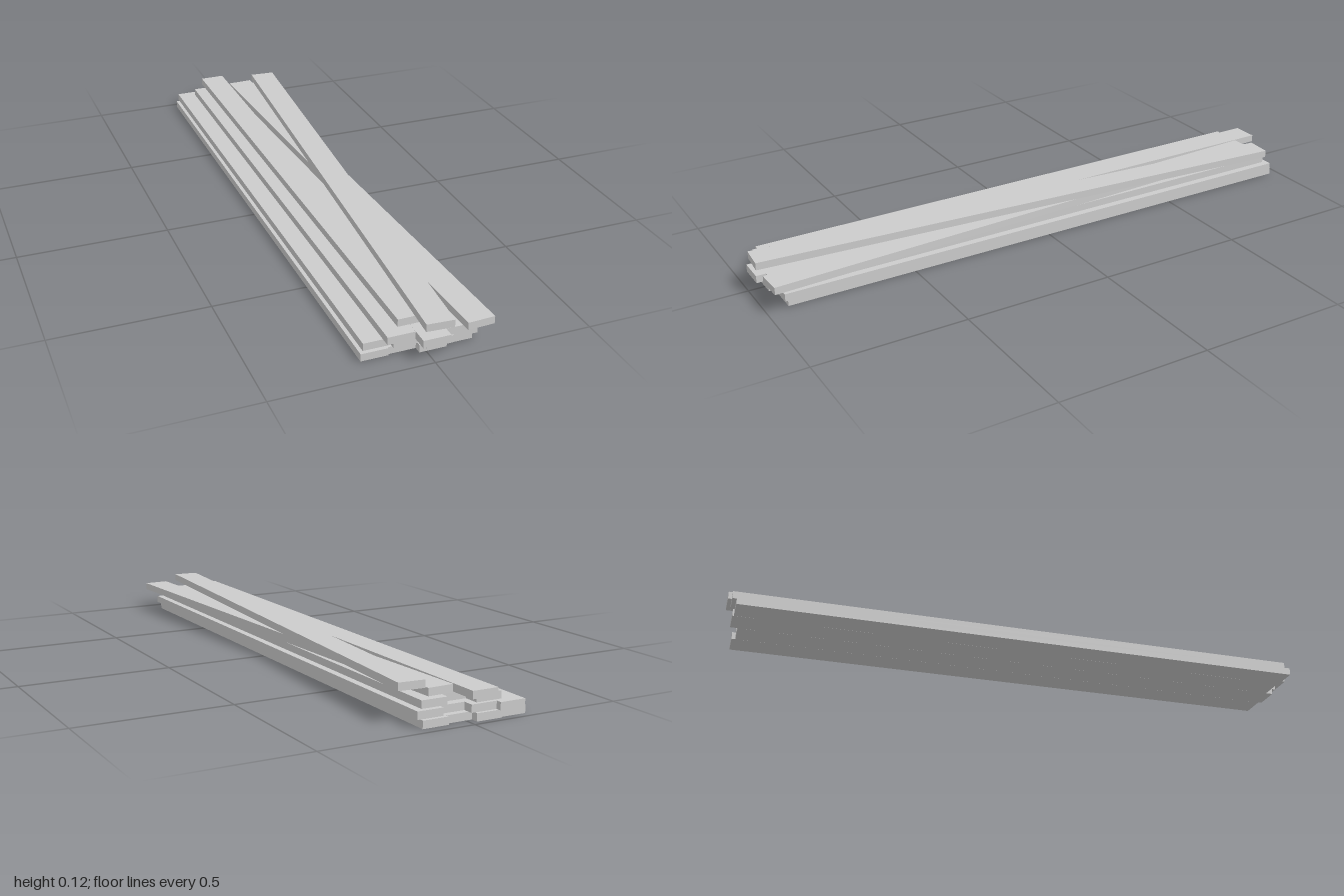
import * as THREE from 'three';

const WIDTH = 0.0863, HEIGHT = 0.0243, LENGTH = 1.895;

// Each layer, bottom to top: planks as [centre x, centre z, turn about y]
const layers = [
  [[-0.151, -0.027, 0], [-0.0645, -0.032, 0], [0.022, -0.008, 0], [0.1085, -0.02, 0]],
  [[-0.139, -0.04, 0], [-0.0525, -0.022, 0], [0.033, 0.012, 0], [0.1185, -0.008, 0]],
  [[-0.0775, -0.01, 0], [0.009, 0.04, 0], [0.095, 0.008, 0]],
  [[-0.032, -0.05, 0.003], [0.1025, 0.035, 0.0495]],
  [[0.0835, 0.04, -0.069]],
];

export function createModel() {
  const stack = new THREE.Group();
  stack.name = 'plankStack';
  const geometry = new THREE.BoxGeometry(WIDTH, HEIGHT, LENGTH);
  const material = new THREE.MeshStandardMaterial({ color: 0xcccccc, flatShading: true });

  layers.forEach((planks, level) => {
    const layer = new THREE.Group();
    layer.name = `layer${level + 1}`;
    planks.forEach(([x, z, turn], i) => {
      const plank = new THREE.Mesh(geometry, material);
      plank.name = `plank${level + 1}_${i + 1}`;
      plank.position.set(x, (level + 0.5) * HEIGHT, z);
      plank.rotation.y = turn;
      layer.add(plank);
    });
    stack.add(layer);
  });
  return stack;
}
